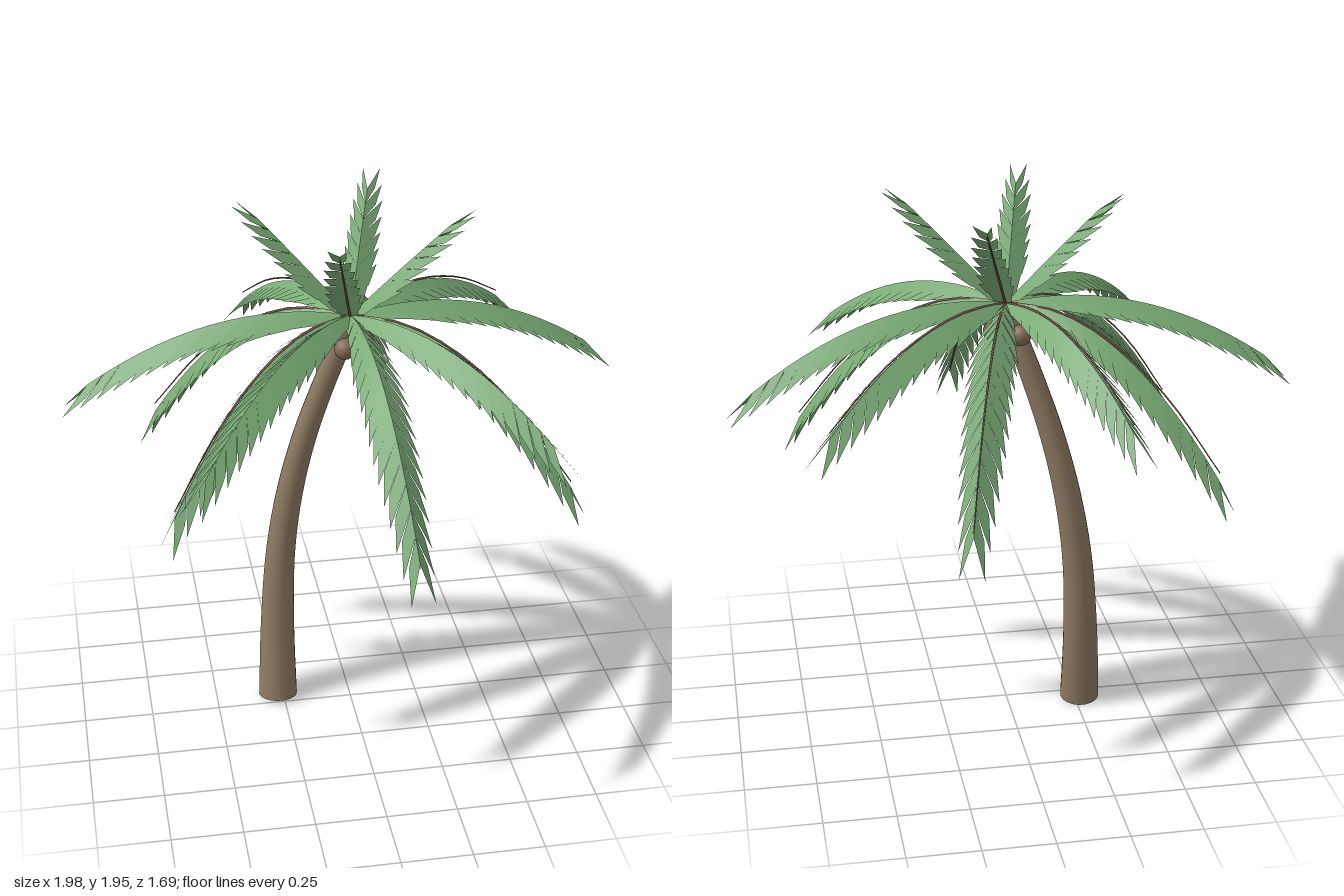
import * as THREE from 'three';

const mat = (name, color, side = THREE.FrontSide) => {
  const m = new THREE.MeshStandardMaterial({ color, side });
  m.name = name;
  return m;
};
const mesh = (name, geometry, material) => {
  const m = new THREE.Mesh(geometry, material);
  m.name = name;
  return m;
};

// Tube along a curve whose radius varies from start to end
function taperedTube(curve, segments, sides, radius) {
  const g = new THREE.TubeGeometry(curve, segments, 1, sides);
  const p = g.attributes.position, v = new THREE.Vector3();
  for (let i = 0; i <= segments; i++) {
    const c = curve.getPointAt(i / segments), r = radius(i / segments);
    for (let j = 0; j <= sides; j++) {
      const k = i * (sides + 1) + j;
      v.fromBufferAttribute(p, k).sub(c).multiplyScalar(r).add(c);
      p.setXYZ(k, v.x, v.y, v.z);
    }
  }
  return g;
}

// Three tiers: midrib arc (y = a*r - b*r*r up to r = full), tip overhang, leaf scale
const TIERS = {
  upright: { a: 1.14, b: 0.15, full: 0.31, overhang: 0.075, scale: 0.72, count: 8 },
  spreading: { a: 0.196, b: 0.465, full: 0.935, overhang: 0.085, scale: 1, count: 15 },
  drooping: { a: 0.164, b: 1.055, full: 0.79, overhang: 0.045, scale: 1, count: 15 },
};
// Direction (degrees from +x towards +z), reach, and how far the midrib lifts off the fold
const HIDDEN = -0.012;
const FRONDS = [
  ['upright', 15, 0.41, HIDDEN], ['upright', 106, 0.39, HIDDEN],
  ['upright', 196, 0.39, HIDDEN], ['upright', 290, 0.41, HIDDEN],
  ['spreading', -9, 0.98, HIDDEN], ['spreading', -42, 0.98, 0.02], ['spreading', 248, 0.86, 0.03],
  ['spreading', 184, 1.0, HIDDEN], ['spreading', 130, 0.99, HIDDEN], ['spreading', 50, 0.95, HIDDEN],
  ['drooping', 84, 0.87, HIDDEN], ['drooping', 29, 0.85, 0.02], ['drooping', 150, 0.81, 0.025],
  ['drooping', 214, 0.84, 0.03], ['drooping', 287, 0.84, 0.02],
];

function makeFrond([tier, degrees, reach, lift], leaf, rib) {
  const { a, b, full, overhang, scale, count } = TIERS[tier];
  const end = reach - overhang;
  const at = (t) => new THREE.Vector3(t * end, a * t * full - b * (t * full) ** 2, 0);
  const positions = [];
  for (const side of [1, -1]) {
    for (let i = 0; i < count; i++) {
      const t0 = i / count, t1 = (i + 1) / count;
      const A = at(t0), B = at(t1);
      const fwd = B.clone().sub(A).normalize();
      const up = new THREE.Vector3(-fwd.y, fwd.x, 0);
      const grow = scale * Math.min(1, 0.35 + t1 * 2.5);
      const taper = 1 - 0.5 * t1 ** 4;
      // Each leaflet sweeps forward, outward and down from the midrib
      const L = fwd.clone().multiplyScalar(0.13 * grow).addScaledVector(up, -0.07 * grow * taper);
      L.z += side * 0.085 * grow * taper;
      const tip = B.clone().add(L);
      const notch = A.clone().addScaledVector(L, 0.74);
      const order = side > 0 ? [A, notch, B, B, notch, tip] : [A, B, notch, B, tip, notch];
      order.forEach((p) => positions.push(p.x, p.y, p.z));
    }
  }
  const blade = new THREE.BufferGeometry();
  blade.setAttribute('position', new THREE.Float32BufferAttribute(positions, 3));
  blade.computeVertexNormals();

  // Midrib, tucked under the fold or lifting slightly above it towards the tip
  const curve = new THREE.CatmullRomCurve3([0, 0.25, 0.5, 0.75, 1].map((t) => {
    const p = at(t);
    p.y += lift > 0 ? lift * t * t : lift;
    return p;
  }));
  const frond = new THREE.Group();
  frond.name = tier + 'Frond';
  frond.add(
    mesh('leaflets', blade, leaf),
    mesh('midrib', taperedTube(curve, 12, 5, (t) => 0.005 - 0.003 * t), rib),
  );
  frond.rotation.y = -THREE.MathUtils.degToRad(degrees);
  return frond;
}

export function createModel() {
  const leaf = mat('leafGreen', 0x78a974, THREE.DoubleSide);
  const rib = mat('midribBrown', 0x80584b);
  const bark = mat('barkBrown', 0x8f7b63);
  const husk = mat('huskBrown', 0x876c57);
  const palm = new THREE.Group();
  palm.name = 'palmTree';

  // Leaning, curved trunk
  const path = new THREE.CatmullRomCurve3([
    [-0.27, 0.012, -0.05], [-0.262, 0.3, -0.087], [-0.243, 0.6, -0.104], [-0.205, 0.85, -0.104],
    [-0.15, 1.08, -0.09], [-0.08, 1.3, -0.065], [-0.03, 1.44, -0.045], [0.004, 1.55, -0.03],
  ].map((p) => new THREE.Vector3(...p)));
  const trunkRadius = (t) => 0.037 + 0.035 * (1 - t) ** 1.5;
  palm.add(mesh('trunk', taperedTube(path, 28, 18, trunkRadius), bark));

  // Closed ends of the trunk
  for (const t of [0, 1]) {
    const cap = mesh('trunkEnd', new THREE.CircleGeometry(trunkRadius(t), 18), bark);
    cap.position.copy(path.getPointAt(t));
    const out = path.getTangentAt(t).multiplyScalar(t ? 1 : -1);
    cap.quaternion.setFromUnitVectors(new THREE.Vector3(0, 0, 1), out);
    palm.add(cap);
  }

  // Coconuts below the crown
  for (const [x, y, z] of [[-0.025, 1.46, 0.03], [0.05, 1.46, -0.035], [-0.035, 1.46, -0.095]]) {
    const nut = mesh('coconut', new THREE.SphereGeometry(0.037, 16, 12), husk);
    nut.position.set(x, y, z);
    palm.add(nut);
  }

  // Crown
  const crown = new THREE.Group();
  crown.name = 'crown';
  crown.position.set(0.005, 1.56, -0.03);
  FRONDS.forEach((f) => crown.add(makeFrond(f, leaf, rib)));
  palm.add(crown);
  return palm;
}
